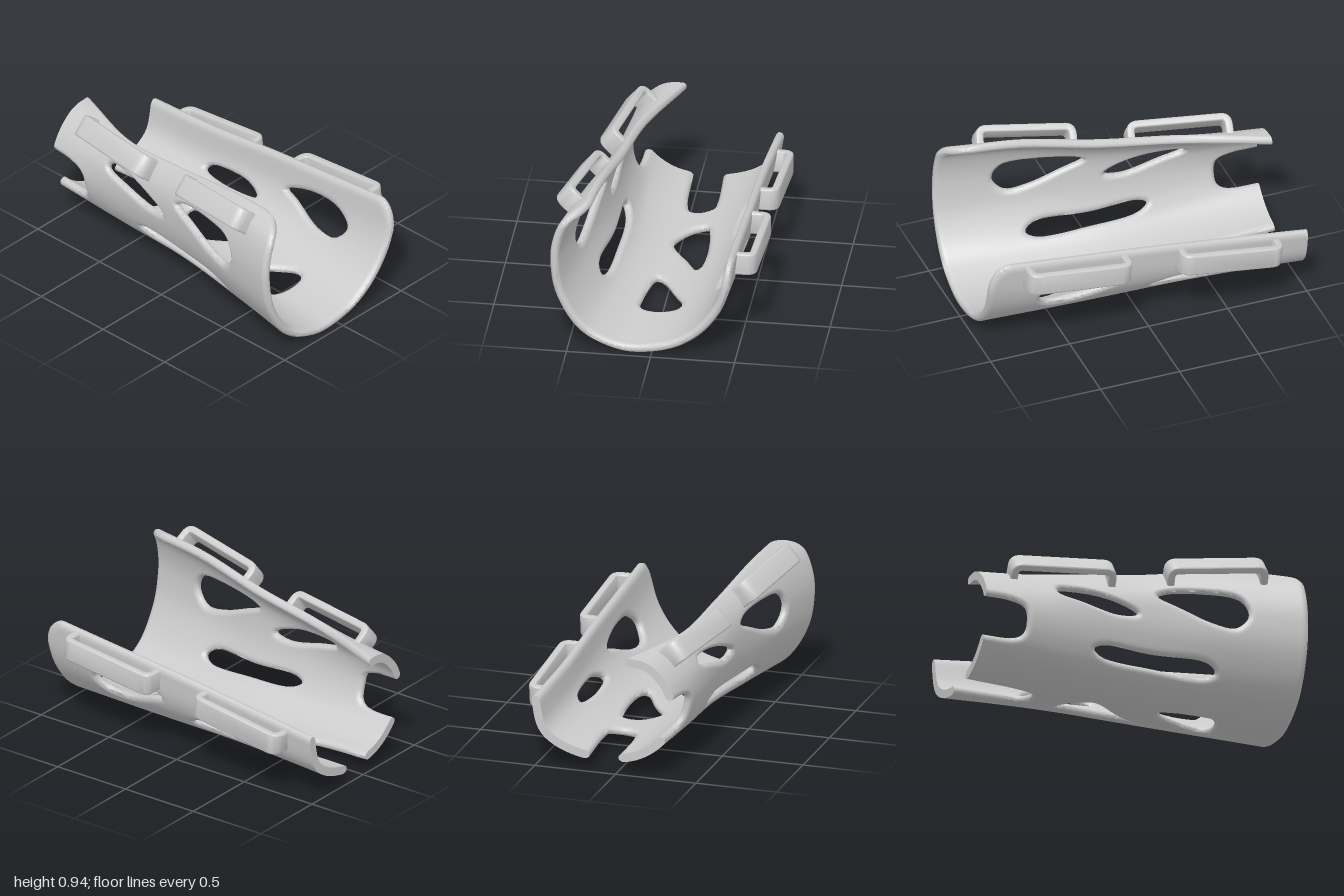
import * as THREE from 'three';
import { toCreasedNormals } from 'three/addons/utils/BufferGeometryUtils.js';

// Cross-sections (x, y) of the shell's middle surface at z = -1, -0.5, 0, 0.5, 1,
// each running from the tall wall's top edge, under the bottom, to the low wall's top edge
const SECTIONS = [
  [[-.06, .71], [-.17, .70], [-.25, .65], [-.32, .56], [-.355, .44], [-.325, .31], [-.25, .21], [-.12, .13], [.05, .10], [.22, .115], [.37, .17], [.46, .26], [.50, .44]],
  [[-.24, .74], [-.29, .70], [-.335, .64], [-.37, .55], [-.37, .42], [-.33, .29], [-.25, .18], [-.10, .11], [.07, .10], [.24, .135], [.38, .21], [.45, .31], [.475, .49]],
  [[-.30, .80], [-.36, .74], [-.40, .66], [-.41, .55], [-.39, .40], [-.33, .25], [-.24, .15], [-.08, .085], [.10, .09], [.27, .15], [.39, .25], [.45, .37], [.47, .55]],
  [[-.36, .885], [-.44, .81], [-.485, .70], [-.50, .56], [-.475, .39], [-.39, .22], [-.29, .12], [-.12, .055], [.09, .075], [.255, .145], [.375, .26], [.44, .40], [.465, .60]],
  [[-.40, .90], [-.53, .83], [-.585, .70], [-.595, .55], [-.56, .36], [-.46, .18], [-.33, .08], [-.14, .027], [.08, .06], [.24, .15], [.36, .29], [.43, .45], [.46, .65]],
];
const KMAX = 12, STEP = 0.145;   // section parameter range, and its length per unit
const HALF = 0.026;              // half of the wall thickness

// Openings as (k, z) outlines; the last two are open towards the back
const OPENINGS = [
  [[7.15, .2], [6.95, .45], [7, .53], [7.5, .57], [8.05, .57], [8.2, .52], [7.8, .36], [7.4, .23]],
  [[8, -.35], [8.45, -.37], [8.55, -.3], [8.5, .08], [8.35, .13], [7.9, 0], [7.35, -.17], [7.45, -.24]],
  [[5, .44], [4.72, .38], [4.72, .05], [4.75, -.25], [5, -.31], [5.27, -.25], [5.3, .05], [5.3, .38]],
  [[3, .6], [2.3, .55], [2, .35], [2, .12], [2.3, .06], [2.9, .2], [3.4, .38], [3.5, .53]],
  [[3.3, -.06], [2.8, -.18], [2.3, -.38], [2.3, -.53], [2.7, -.55], [3.1, -.4], [3.45, -.18]],
  [[10.5, .66], [11.1, .55], [11.2, .3], [10.85, .14], [10.6, .22], [10, .42], [9.95, .6]],
  [[9.9, -.05], [10.4, -.15], [10.6, -.3], [10.5, -.46], [10.2, -.48], [9.85, -.3]],
  [[7.6, -1.3], [7.6, -1], [7.6, -.65], [7.75, -.56], [8.15, -.55], [8.55, -.59], [8.65, -.68], [8.65, -1], [8.65, -1.3]],
  [[3.5, -1.3], [3.5, -1], [3.55, -.85], [3.8, -.76], [4.4, -.74], [5, -.75], [5.3, -.8], [5.45, -1], [5.45, -1.3]],
].map(pts => new THREE.CatmullRomCurve3(
  pts.map(([k, z]) => new THREE.Vector3(k * STEP, z, 0)), true).getPoints(48));

// Catmull-Rom interpolation through a list, continued straight at the ends
function spline(list, t) {
  const i = Math.max(0, Math.min(list.length - 2, Math.floor(t))), f = t - i;
  const b = list[i], c = list[i + 1];
  const a = i > 0 ? list[i - 1] : 2 * b - c;
  const d = i + 2 < list.length ? list[i + 2] : 2 * c - b;
  return b + 0.5 * f * (c - a + f * (2 * a - 5 * b + 4 * c - d + f * (3 * (b - c) + d - a)));
}
function surface(k, z) {
  const at = axis => spline(SECTIONS.map(s => spline(s.map(p => p[axis]), k)), (z + 1) * 2);
  return new THREE.Vector3(at(0), at(1), z);
}
function outward(k, z) {
  const e = 0.02;
  const dk = surface(k + e, z).sub(surface(k - e, z));
  const dz = surface(k, z + e).sub(surface(k, z - e));
  return dk.cross(dz).normalize();
}

// Signed distance to an outline, positive outside it
function outside(poly, x, y) {
  let best = Infinity, inside = false;
  for (let i = 0, j = poly.length - 1; i < poly.length; j = i++) {
    const a = poly[i], b = poly[j], ex = b.x - a.x, ey = b.y - a.y;
    const t = Math.max(0, Math.min(1, ((x - a.x) * ex + (y - a.y) * ey) / (ex * ex + ey * ey || 1)));
    best = Math.min(best, Math.hypot(x - a.x - t * ex, y - a.y - t * ey));
    if ((a.y > y) !== (b.y > y) && x < a.x + ex * (y - a.y) / ey) inside = !inside;
  }
  return inside ? -best : best;
}
const corner = (p, q, r) => (p < r && q < r ? r - Math.hypot(r - p, r - q) : Math.min(p, q));

// Distance from a point of the sheet to its nearest rim (negative where cut away)
function rimDistance(k, z) {
  const front = 0.93 + 0.065 * k / KMAX - z;
  const d = Math.min(corner(k * STEP + 1e-4, front, 0.2), corner((KMAX - k) * STEP + 1e-4, front, 0.14));
  return OPENINGS.reduce((m, poly) => Math.min(m, outside(poly, k * STEP, z)), d);
}

// Shell: a grid clipped at the rims, thickened both ways, with rounded rims
function shellGeometry() {
  const NK = 136, NZ = 150, pts = [], tris = [], cuts = new Map();
  for (let j = 0; j <= NZ; j++) {
    for (let i = 0; i <= NK; i++) {
      const k = KMAX * i / NK, z = -1 + 2 * j / NZ;
      pts.push({ k, z, d: rimDistance(k, z) });
    }
  }
  const cut = (a, b) => {
    const key = Math.min(a, b) + '_' + Math.max(a, b);
    if (!cuts.has(key)) {
      const A = pts[a], B = pts[b], t = A.d / (A.d - B.d);
      cuts.set(key, pts.push({ k: A.k + (B.k - A.k) * t, z: A.z + (B.z - A.z) * t, d: 0 }) - 1);
    }
    return cuts.get(key);
  };
  const clip = tri => {
    const out = [];
    tri.forEach((a, n) => {
      const b = tri[(n + 1) % 3];
      if (pts[a].d >= 0) out.push(a);
      if ((pts[a].d >= 0) !== (pts[b].d >= 0)) out.push(cut(a, b));
    });
    for (let n = 2; n < out.length; n++) tris.push([out[0], out[n - 1], out[n]]);
  };
  for (let j = 0; j < NZ; j++) {
    for (let i = 0; i < NK; i++) {
      const a = j * (NK + 1) + i, b = a + 1, c = b + NK + 1, d = a + NK + 1;
      clip([a, b, c]);
      clip([a, c, d]);
    }
  }

  const pos = [], index = [], edges = new Set();
  for (const { k, z, d } of pts) {
    const q = 1 - Math.min(1, Math.max(0, d) / HALF);
    const h = HALF * Math.max(0.4, Math.sqrt(1 - q * q));
    const p = surface(k, z), n = outward(k, z);
    n.z = z < -0.97 ? 0 : n.z;   // keeps the back ends cut flat
    pos.push(...p.clone().addScaledVector(n, h).toArray(), ...p.addScaledVector(n, -h).toArray());
  }
  for (const [a, b, c] of tris) {
    index.push(2 * a, 2 * b, 2 * c, 2 * a + 1, 2 * c + 1, 2 * b + 1);
    for (const [s, e] of [[a, b], [b, c], [c, a]]) edges.add(s + '_' + e);
  }
  // Rim walls along every open edge
  for (const edge of edges) {
    const [a, b] = edge.split('_').map(Number);
    if (edges.has(b + '_' + a)) continue;
    index.push(2 * b, 2 * a, 2 * a + 1, 2 * b, 2 * a + 1, 2 * b + 1);
  }
  const g = new THREE.BufferGeometry();
  g.setAttribute('position', new THREE.Float32BufferAttribute(pos, 3));
  g.setIndex(index);
  return toCreasedNormals(g, 1.0);
}

// Strap loop: a flat U-shaped bracket standing on the wall between two points
function strapLoop(name, start, end, out, height, material) {
  const A = surface(...start), B = surface(...end);
  const X = B.clone().sub(A), L = X.length(), T = 0.026, W = 0.11, r = 0.06;
  X.normalize();
  const Y = out.clone().addScaledVector(X, -out.dot(X)).normalize();
  const Z = X.clone().cross(Y);
  const s = new THREE.Shape();
  s.moveTo(0, 0);
  s.lineTo(T, 0);
  s.lineTo(T, height - r);
  s.quadraticCurveTo(T, height - T, r, height - T);
  s.lineTo(L - r, height - T);
  s.quadraticCurveTo(L - T, height - T, L - T, height - r);
  s.lineTo(L - T, 0);
  s.lineTo(L, 0);
  s.lineTo(L, height - r);
  s.quadraticCurveTo(L, height, L - r, height);
  s.lineTo(r, height);
  s.quadraticCurveTo(0, height, 0, height - r);
  const g = new THREE.ExtrudeGeometry(s, {
    depth: W, bevelSize: 0.01, bevelThickness: 0.012, bevelSegments: 3, curveSegments: 8,
  });
  g.translate(0, 0, -W / 2);
  g.applyMatrix4(new THREE.Matrix4().makeBasis(X, Y, Z).setPosition(A));
  const mesh = new THREE.Mesh(toCreasedNormals(g, 0.7), material);
  mesh.name = name;
  return mesh;
}

export function createModel() {
  const group = new THREE.Group();
  group.name = 'limbBrace';
  const material = new THREE.MeshStandardMaterial({ color: 0xcccccc });
  const shell = new THREE.Mesh(shellGeometry(), material);
  shell.name = 'shell';
  group.add(shell);

  const left = new THREE.Vector3(1, 0, 0), right = new THREE.Vector3(-0.77, 0.64, 0);
  group.add(
    strapLoop('leftFrontStrapLoop', [11.55, 0.14], [11.6, 0.77], left, 0.135, material),
    strapLoop('leftRearStrapLoop', [11.5, -0.81], [11.55, -0.19], left, 0.125, material),
    strapLoop('rightFrontStrapLoop', [1, 0.13], [1, 0.71], right, 0.12, material),
    strapLoop('rightRearStrapLoop', [1.4, -0.81], [1.2, -0.2], right, 0.12, material),
  );
  return group;
}
